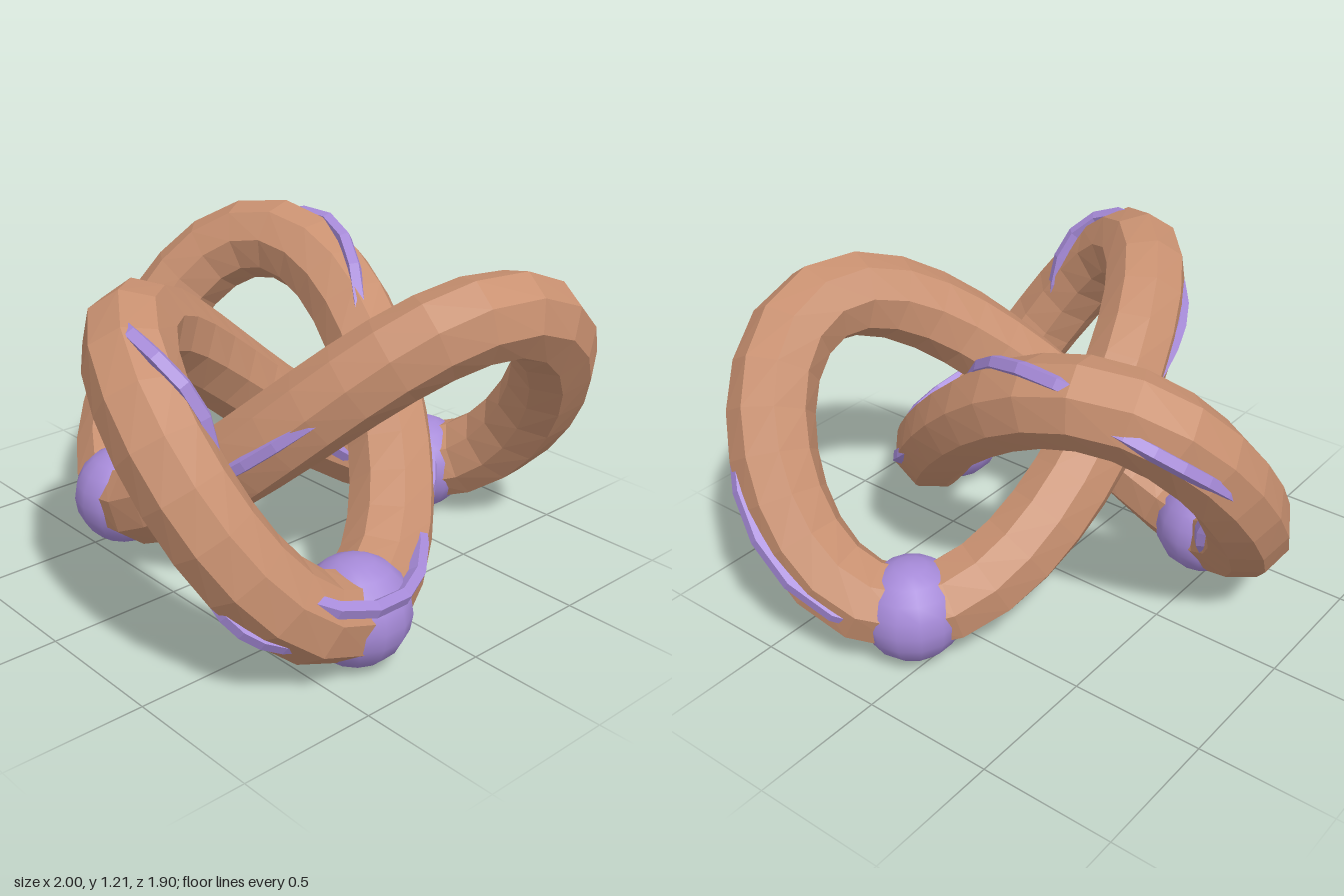
import * as THREE from 'three';

const S = 0.31;          // plan scale of the knot
const TUBE = 0.155;      // rope radius
const CENTRE = new THREE.Vector3(0, 0.625, 0.12);
const RISE = 0.435;      // height of the waves

// Point on the trefoil at angle t
function knotPoint(t) {
  return new THREE.Vector3(
    S * (Math.sin(t) + 2 * Math.sin(2 * t)),
    -RISE * Math.sin(3 * t),
    S * (Math.cos(t) - 2 * Math.cos(2 * t))
  ).add(CENTRE);
}

class KnotCurve extends THREE.Curve {
  getPoint(u, target = new THREE.Vector3()) {
    return target.copy(knotPoint(u * Math.PI * 2));
  }
}

// Point beside the rope: phi 0 = outward, 90 = up, 180 = inward
function besideRope(tDeg, phiDeg, distance) {
  const t = THREE.MathUtils.degToRad(tDeg);
  const phi = THREE.MathUtils.degToRad(phiDeg);
  const tangent = knotPoint(t + 0.001).sub(knotPoint(t - 0.001)).normalize();
  const out = new THREE.Vector3(tangent.z, 0, -tangent.x).normalize();
  const up = new THREE.Vector3().crossVectors(tangent, out);
  return knotPoint(t)
    .addScaledVector(out, Math.cos(phi) * distance)
    .addScaledVector(up, Math.sin(phi) * distance);
}

export function createModel() {
  const group = new THREE.Group();
  const brown = new THREE.MeshStandardMaterial({ color: 0xc89070, flatShading: true });
  const purple = new THREE.MeshStandardMaterial({ color: 0xa68ad8 });
  const purpleFlat = new THREE.MeshStandardMaterial({ color: 0xa68ad8, flatShading: true });

  const add = (geometry, material, name) => {
    const mesh = new THREE.Mesh(geometry, material);
    mesh.name = name;
    group.add(mesh);
    return mesh;
  };

  // Eight-sided rope
  add(new THREE.TubeGeometry(new KnotCurve(), 64, TUBE, 8, true), brown, 'knotRope');

  // Beads at the three lowest points
  for (let i = 0; i < 3; i++) {
    const bead = add(new THREE.SphereGeometry(0.19, 14, 10), purple, 'bead');
    bead.position.copy(knotPoint(Math.PI / 6 + (i * Math.PI * 2) / 3));
  }

  // Vine slivers surfacing from the rope: start t, start phi, end t, end phi, peak distance
  const slivers = [
    [2, 180, 19, 190, 0.15],
    [34, -8, 70, 3, 0.145],
    [111, 0, 132, 0, 0.145],
    [158, 195, 174, 150, 0.16],
    [186, -15, 208, 0, 0.145],
    [208, 35, 234, 120, 0.155],
    [241, -10, 253, -10, 0.14],
    [254, 25, 287, 35, 0.19],
    [282, -45, 295, -75, 0.14],
    [302, 165, 325, 75, 0.16],
    [333, -15, 353, -10, 0.145],
  ];
  for (const [t0, p0, t1, p1, peak] of slivers) {
    const points = [];
    for (let i = 0; i <= 6; i++) {
      const u = i / 6;
      const distance = THREE.MathUtils.lerp(0.1, peak, Math.sin(Math.PI * u));
      points.push(besideRope(
        THREE.MathUtils.lerp(t0, t1, u), THREE.MathUtils.lerp(p0, p1, u), distance));
    }
    const path = new THREE.CatmullRomCurve3(points);
    add(new THREE.TubeGeometry(path, 6, 0.03, 5, false), purpleFlat, 'vineSliver');
  }

  return group;
}
